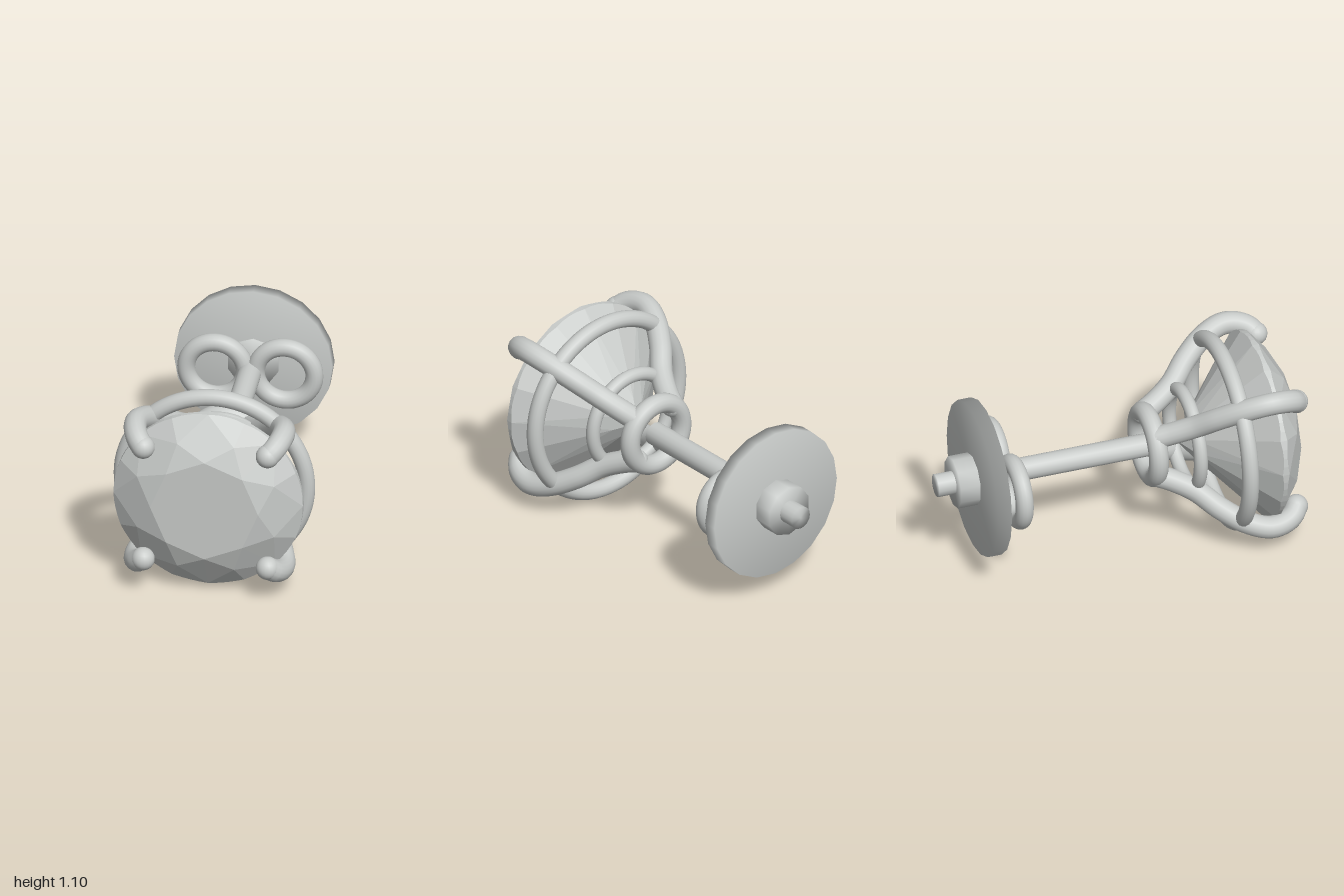
import * as THREE from 'three';
import { mergeVertices } from 'three/addons/utils/BufferGeometryUtils.js';

// Round brilliant cut, axis along z, built from planar facets.
function brilliantGeometry() {
  const R = 0.517, zTable = 0.982, zTop = 0.84, zBottom = 0.802, zCulet = 0.36;
  const step = Math.PI / 8, sub = 4;
  const pt = (r, k, z) => new THREE.Vector3(r * Math.cos(k * step), r * Math.sin(k * step), z);
  const pos = [];
  const facet = (pts, flip) => {
    for (let i = 1; i < pts.length - 1; i++) {
      const t = flip ? [pts[0], pts[i + 1], pts[i]] : [pts[0], pts[i], pts[i + 1]];
      t.forEach((p) => pos.push(p.x, p.y, p.z));
    }
  };
  // Girdle arc lying on the plane of a half facet, from step k to k + 1
  const arc = (apex, k, z) => {
    const plane = new THREE.Plane().setFromCoplanarPoints(apex, pt(R, k, z), pt(R, k + 1, z));
    const n = plane.normal;
    return Array.from({ length: sub + 1 }, (_, i) => {
      const p = pt(R, k + i / sub, 0);
      p.z = -(plane.constant + n.x * p.x + n.y * p.y) / n.z;
      return p;
    });
  };
  const culet = pt(0, 0, zCulet);
  const table = [];
  for (let k = 0; k < 16; k += 2) {
    const star = (j) => pt(0.405, j, 0.931);
    const low = (j) => pt(0.11, j, 0.447);
    const t = pt(0.295, k, zTable);
    table.push(t);
    facet([t, star(k - 1), pt(R, k, zTop), star(k + 1)]);
    facet([t, star(k + 1), pt(0.295, k + 2, zTable)]);
    facet([culet, low(k - 1), pt(R, k, zBottom), low(k + 1)], true);
    for (const [j, s] of [[k, k + 1], [k + 1, k + 1]]) {
      const upper = arc(star(s), j, zTop), lower = arc(low(s), j, zBottom);
      facet([star(s), ...upper]);
      facet([low(s), ...lower], true);
      for (let i = 0; i < sub; i++) facet([lower[i], lower[i + 1], upper[i + 1], upper[i]]);
    }
  }
  facet(table);
  const g = new THREE.BufferGeometry();
  g.setAttribute('position', new THREE.Float32BufferAttribute(pos, 3));
  g.computeVertexNormals();
  return g;
}

// Cylinder along z whose normals run smoothly over its rim
function softCylinder(radius, z0, z1, sides) {
  const g = new THREE.CylinderGeometry(radius, radius, z1 - z0, sides);
  g.rotateX(Math.PI / 2).translate(0, 0, (z0 + z1) / 2);
  g.deleteAttribute('normal');
  g.deleteAttribute('uv');
  const m = mergeVertices(g, 1e-4);
  m.computeVertexNormals();
  return m;
}

export function createModel() {
  const group = new THREE.Group();
  group.name = 'studEarring';
  const silver = new THREE.MeshStandardMaterial({ color: 0xc8cbc9 });
  silver.name = 'paleSilver';
  const yc = 0.552;

  const add = (name, geometry, x = 0, y = 0, z = 0) => {
    const mesh = new THREE.Mesh(geometry, silver);
    mesh.name = name;
    mesh.position.set(x, yc + y, z);
    group.add(mesh);
    return mesh;
  };

  add('stone', brilliantGeometry());

  // Setting rings
  add('outerRing', new THREE.TorusGeometry(0.504, 0.046, 16, 80), 0, 0, 0.622);
  add('innerRing', new THREE.TorusGeometry(0.266, 0.038, 16, 56), 0, 0, 0.42);
  add('baseRing', new THREE.TorusGeometry(0.181, 0.054, 16, 48), 0, 0, 0.21);

  // Four prongs on the diagonals: [x and y offset, z]
  const profile = [[0.125, 0.22], [0.155, 0.3], [0.21, 0.41], [0.295, 0.52], [0.365, 0.64],
    [0.402, 0.76], [0.398, 0.84], [0.374, 0.905], [0.34, 0.94]];
  for (const sx of [-1, 1]) {
    for (const sy of [-1, 1]) {
      const path = new THREE.CatmullRomCurve3(
        profile.map(([d, z]) => new THREE.Vector3(sx * d, sy * d, z)));
      add('prong', new THREE.TubeGeometry(path, 40, 0.062, 16));
      add('prongTip', new THREE.SphereGeometry(0.064, 20, 14), sx * 0.34, sy * 0.343, 0.938);
      add('prongFoot', new THREE.SphereGeometry(0.062, 16, 12), sx * 0.125, sy * 0.125, 0.22);
    }
  }

  // Post and butterfly back
  add('post', softCylinder(0.064, -1, 0.22, 16));
  for (const s of [-1, 1]) {
    add('backLoop', new THREE.TorusGeometry(0.16, 0.049, 16, 48), s * 0.19, 0, -0.612);
  }
  add('backDisc', softCylinder(0.432, -0.79, -0.712, 20));
  add('backHub', softCylinder(0.144, -0.902, -0.7, 10));
  return group;
}
